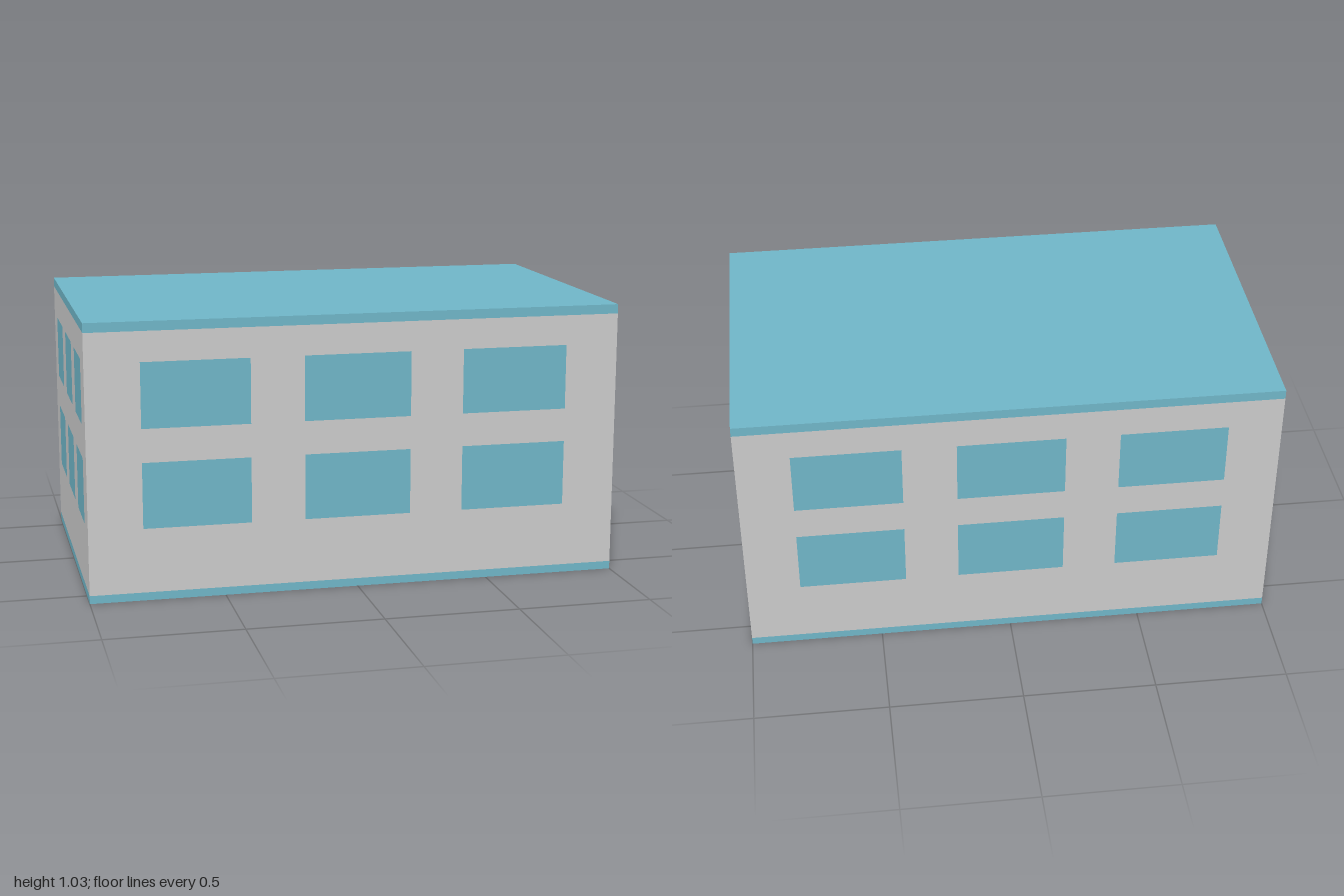
import * as THREE from 'three';

const WIDTH = 2, DEPTH = 1.2;
const BASE_TOP = 0.03, ROOF_BOTTOM = 0.995, ROOF_TOP = 1.03;
const WINDOW_ROWS = [[0.27, 0.515], [0.64, 0.883]];

const grey = new THREE.MeshStandardMaterial({ color: 0xcccccc });
const teal = new THREE.MeshStandardMaterial({ color: 0x70b6c8 });

function addMesh(parent, name, geometry, material) {
  const mesh = new THREE.Mesh(geometry, material);
  mesh.name = name;
  parent.add(mesh);
  return mesh;
}

function rectPoints(x0, x1, y0, y1) {
  return [[x0, y0], [x1, y0], [x1, y1], [x0, y1]].map(([x, y]) => new THREE.Vector2(x, y));
}

// Horizontal slab spanning the whole footprint
function addSlab(parent, name, y0, y1) {
  const slab = addMesh(parent, name, new THREE.BoxGeometry(WIDTH, y1 - y0, DEPTH), teal);
  slab.position.y = (y0 + y1) / 2;
}

// Wall with two rows of three openings, each filled by a flush pane
function createWall(name, width, distance, angle) {
  const wall = new THREE.Group();
  wall.name = name;
  const outline = new THREE.Shape(rectPoints(-width / 2, width / 2, BASE_TOP, ROOF_BOTTOM));
  const half = width * 0.1;
  for (const [y0, y1] of WINDOW_ROWS) {
    for (const column of [-1, 0, 1]) {
      const x = column * width * 0.3;
      const points = rectPoints(x - half, x + half, y0, y1);
      outline.holes.push(new THREE.Path(points));
      addMesh(wall, 'windowPane', new THREE.ShapeGeometry(new THREE.Shape(points)), teal);
    }
  }
  addMesh(wall, 'wallPanel', new THREE.ShapeGeometry(outline), grey);
  wall.rotation.y = angle;
  wall.position.set(Math.sin(angle) * distance, 0, Math.cos(angle) * distance);
  return wall;
}

export function createModel() {
  const building = new THREE.Group();
  building.name = 'building';

  // Floor and roof
  addSlab(building, 'floorSlab', 0, BASE_TOP);
  addSlab(building, 'roofSlab', ROOF_BOTTOM, ROOF_TOP);

  // Four walls, turned to face outwards
  building.add(
    createWall('frontWall', WIDTH, DEPTH / 2, 0),
    createWall('leftWall', DEPTH, WIDTH / 2, Math.PI / 2),
    createWall('backWall', WIDTH, DEPTH / 2, Math.PI),
    createWall('rightWall', DEPTH, WIDTH / 2, -Math.PI / 2),
  );
  return building;
}
